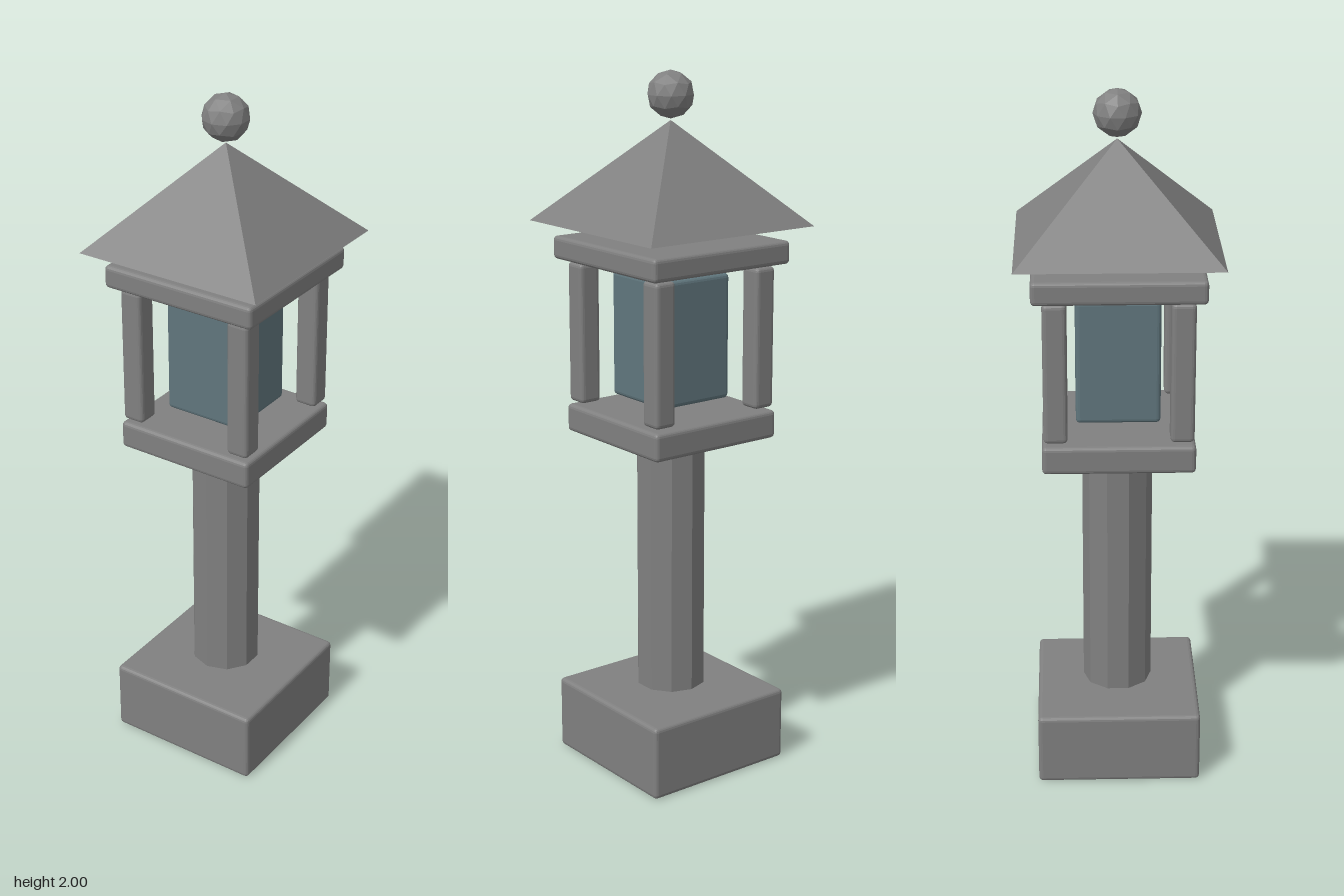
import * as THREE from 'three';
import { RoundedBoxGeometry } from 'three/addons/geometries/RoundedBoxGeometry.js';

export function createModel() {
  const model = new THREE.Group();
  model.name = 'stoneLantern';

  const stone = new THREE.MeshStandardMaterial({ color: 0x808080 });
  stone.name = 'grey stone';
  stone.flatShading = true;
  const glass = new THREE.MeshStandardMaterial({ color: 0x60767d });
  glass.name = 'blue grey glass';
  glass.flatShading = true;

  function add(name, geometry, material, x, y, z) {
    const mesh = new THREE.Mesh(geometry, material);
    mesh.name = name;
    mesh.position.set(x, y, z);
    model.add(mesh);
    return mesh;
  }

  // Square block with softened edges, spanning y0 to y1
  function block(name, width, y0, y1, material = stone, x = 0, z = 0) {
    const geometry = new RoundedBoxGeometry(width, y1 - y0, width, 2, 0.012);
    return add(name, geometry, material, x, (y0 + y1) / 2, z);
  }

  // Foot and ten-sided shaft
  block('base', 0.47, 0, 0.215);
  add('shaft', new THREE.CylinderGeometry(0.1, 0.1, 0.74, 10), stone, 0, 0.6, 0);

  // Light chamber
  block('lowerPlate', 0.422, 0.98, 1.06);
  block('glassBox', 0.234, 1.092, 1.448, glass);
  for (const x of [-1, 1]) {
    for (const z of [-1, 1]) {
      const name = (z > 0 ? 'front' : 'back') + (x > 0 ? 'Left' : 'Right') + 'Pillar';
      block(name, 0.066, 1.07, 1.47, stone, x * 0.173, z * 0.173);
    }
  }
  block('upperPlate', 0.47, 1.477, 1.542);

  // Pyramid roof
  const roof = new THREE.ConeGeometry(0.279 * Math.SQRT2, 0.282, 4);
  roof.rotateY(Math.PI / 4);
  add('roof', roof, stone, 0, 1.724, 0);

  // Faceted ball, turned so that one five-fold corner points up
  const ball = new THREE.IcosahedronGeometry(0.0655, 1);
  ball.rotateZ(Math.atan(2 / (1 + Math.sqrt(5))));
  add('finial', ball, stone, 0, 1.9345, 0);

  return model;
}
